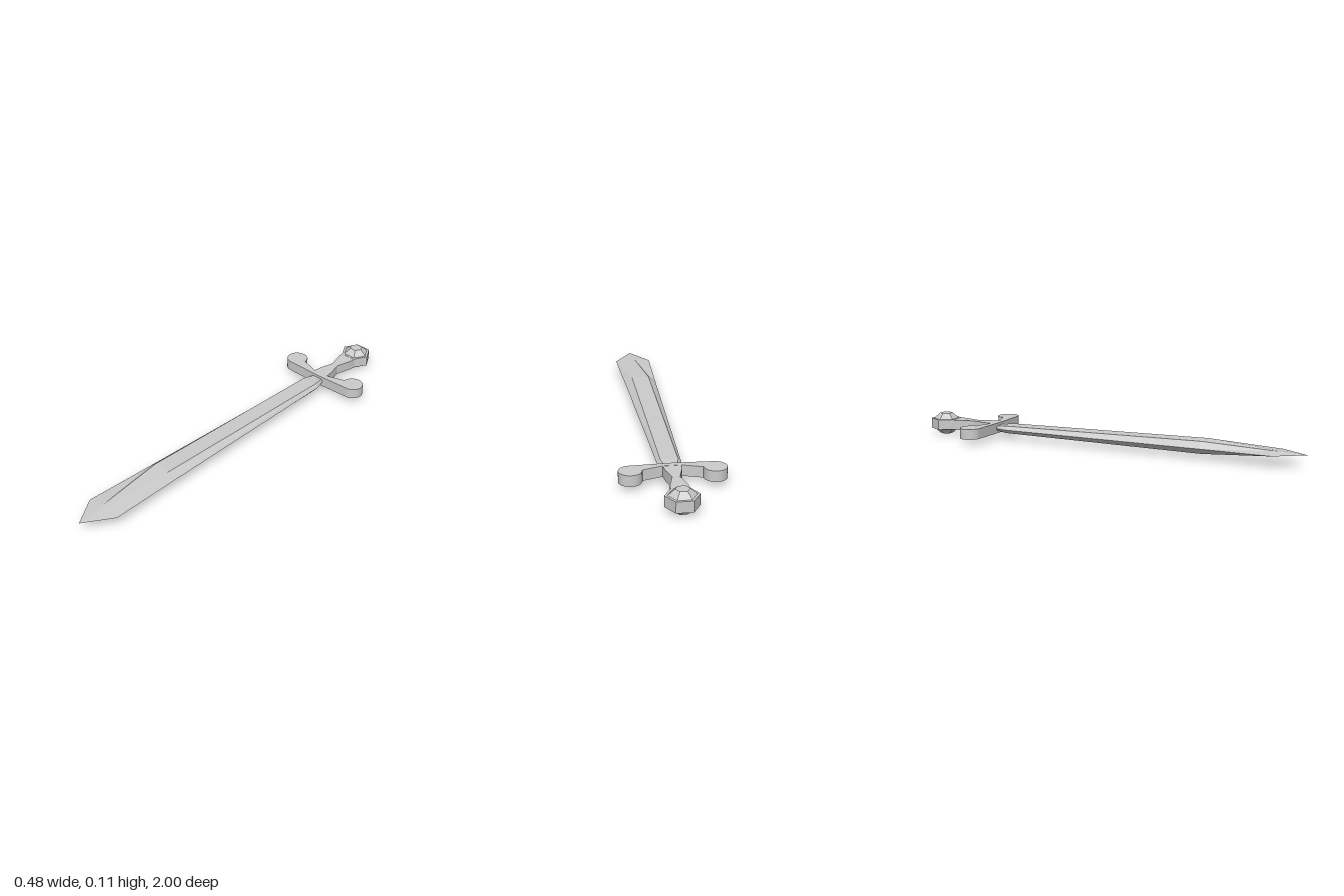
import * as THREE from 'three';
import { toCreasedNormals } from 'three/addons/utils/BufferGeometryUtils.js';

const MID = 0.055; // height of the sword's middle plane
const flat = new THREE.MeshStandardMaterial({ color: 0xcccccc, flatShading: true });
const smooth = new THREE.MeshStandardMaterial({ color: 0xcccccc });

function add(parent, name, geometry, material) {
  const mesh = new THREE.Mesh(geometry, material);
  mesh.name = name;
  parent.add(mesh);
  return mesh;
}

// Plan outline (shape y becomes z) extruded vertically about the middle plane
function slab(shape, height) {
  const g = new THREE.ExtrudeGeometry(shape, { depth: height, bevelEnabled: false, curveSegments: 32 });
  g.rotateX(Math.PI / 2);
  g.translate(0, MID + height / 2, 0);
  return toCreasedNormals(g, 0.5);
}

// Six-sided blade lofted through sections: z, edge half-width, flat half-width, half-height
function bladeGeometry() {
  const sections = [
    [-0.615, 0.035, 0.026, 0.012],
    [-0.55, 0.055, 0.04, 0.018],
    [0.5, 0.081, 0.044, 0.03],
    [0.86, 0.092, 0.0123, 0.0084],
    [1, 0, 0, 0],
  ];
  const pos = [], index = [];
  for (const [z, w, t, h] of sections) {
    for (const [x, y] of [[w, 0], [t, h], [-t, h], [-w, 0], [-t, -h], [t, -h]]) pos.push(x, MID + y, z);
  }
  for (let s = 0; s < sections.length - 1; s++) {
    for (let i = 0; i < 6; i++) {
      const a = s * 6 + i, b = s * 6 + (i + 1) % 6;
      index.push(a, b, a + 6);
      if (s < sections.length - 2) index.push(b, b + 6, a + 6);
    }
  }
  for (let i = 1; i < 5; i++) index.push(0, i + 1, i); // base cap
  const g = new THREE.BufferGeometry();
  g.setAttribute('position', new THREE.Float32BufferAttribute(pos, 3));
  g.setIndex(index);
  g.computeVertexNormals();
  return g;
}

// Crossguard: arms flaring out to round ends
function guardShape() {
  const s = new THREE.Shape();
  s.moveTo(0, -0.61);
  s.lineTo(0.188, -0.617);
  s.absarc(0.188, -0.67, 0.053, Math.PI / 2, -Math.PI, true);
  s.lineTo(0.04, -0.638);
  s.lineTo(-0.04, -0.638);
  s.lineTo(-0.135, -0.67);
  s.absarc(-0.188, -0.67, 0.053, 0, -1.5 * Math.PI, true);
  s.closePath();
  return s;
}

// Grip: waisted outline mirrored across x
function gripShape() {
  const half = [[0.042, -0.63], [0.037, -0.68], [0.017, -0.755], [0.04, -0.84], [0.042, -0.9]];
  const mirrored = half.map(([x, z]) => [-x, z]).reverse();
  return new THREE.Shape([...half, ...mirrored].map(([x, z]) => new THREE.Vector2(x, z)));
}

export function createModel() {
  const sword = new THREE.Group();
  sword.name = 'sword';
  add(sword, 'blade', bladeGeometry(), flat);
  add(sword, 'crossguard', slab(guardShape(), 0.052), smooth);
  add(sword, 'grip', slab(gripShape(), 0.05), smooth);

  // Hexagonal pommel with a faceted cap above and below
  const pommel = new THREE.Group();
  pommel.name = 'pommel';
  pommel.position.set(0, MID, -0.933);
  pommel.rotation.y = Math.PI / 6;
  add(pommel, 'pommelBody', new THREE.CylinderGeometry(0.077, 0.077, 0.052, 6), flat);
  const cap = new THREE.CylinderGeometry(0.032, 0.064, 0.027, 6);
  add(pommel, 'pommelTopCap', cap, flat).position.y = 0.0395;
  const under = add(pommel, 'pommelBottomCap', cap, flat);
  under.position.y = -0.0395;
  under.rotation.x = Math.PI;
  sword.add(pommel);
  return sword;
}
